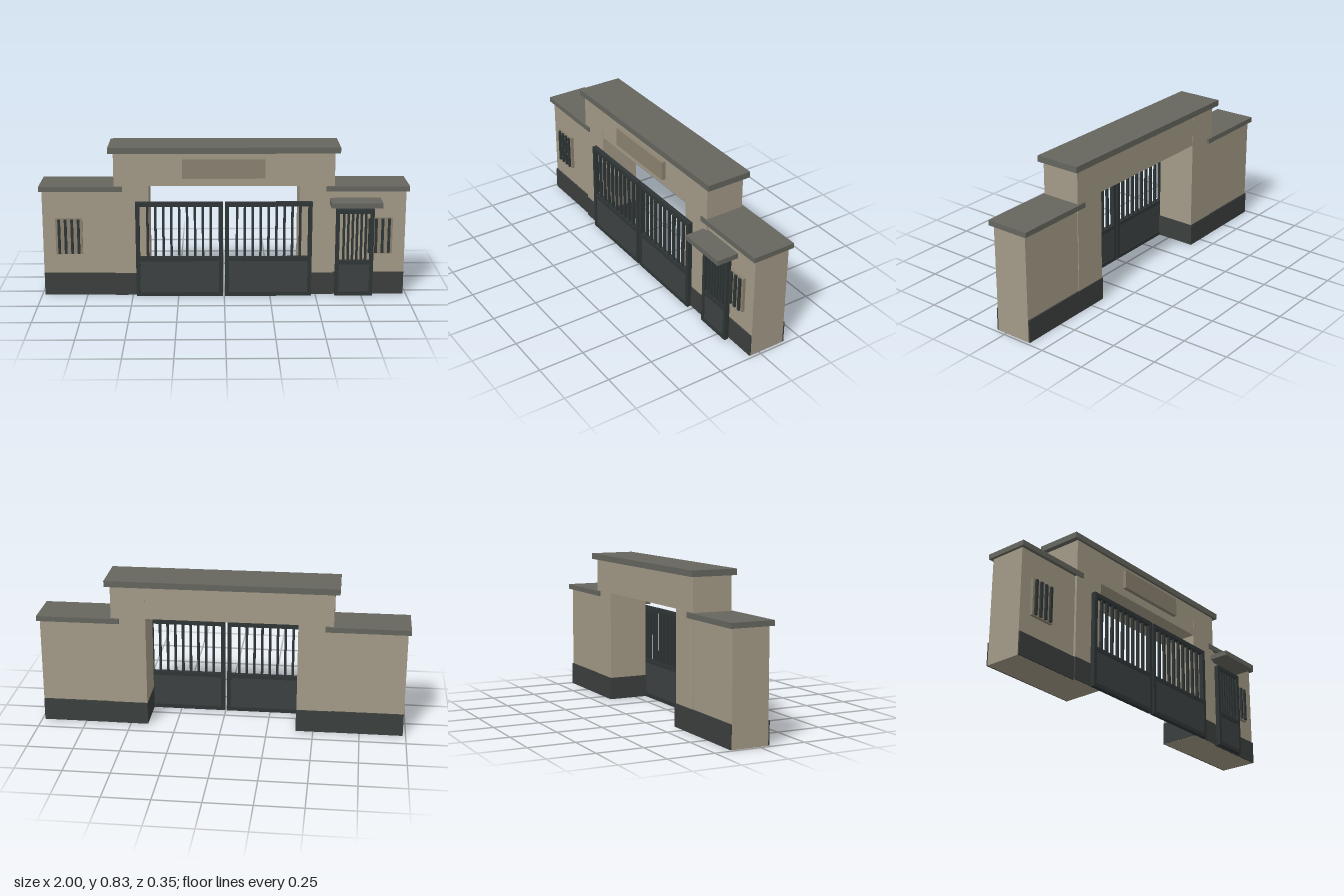
import * as THREE from 'three';

const mat = (color) => new THREE.MeshStandardMaterial({ color, flatShading: true });
const wall = mat(0xa39a87), stone = mat(0x66665f), plinth = mat(0x3b3f3e);
const iron = mat(0x2f3536), panel = mat(0x3d4141), plaque = mat(0x8b8270);

// Box given by its min and max on each axis
function box(parent, name, material, x0, x1, y0, y1, z0, z1) {
  const m = new THREE.Mesh(new THREE.BoxGeometry(x1 - x0, y1 - y0, z1 - z0), material);
  m.position.set((x0 + x1) / 2, (y0 + y1) / 2, (z0 + z1) / 2);
  m.name = name;
  parent.add(m);
  return m;
}

// Barred leaf: frame, solid lower panel and evenly spaced upright bars
function leaf(name, x0, x1, top, mid, post, bars, barWidth) {
  const g = new THREE.Group();
  g.name = name;
  const z0 = 0.066, z1 = 0.091;
  box(g, 'framePost', iron, x0, x0 + post, 0, top, z0, z1);
  box(g, 'framePost', iron, x1 - post, x1, 0, top, z0, z1);
  const a = x0 + post, b = x1 - post;
  box(g, 'topRail', iron, a, b, top - 0.024, top, z0, z1);
  box(g, 'middleRail', iron, a, b, mid - 0.022, mid, z0, z1);
  box(g, 'bottomRail', iron, a, b, 0, 0.022, z0, z1);
  box(g, 'lowerPanel', panel, a, b, 0.022, mid - 0.022, z0 + 0.005, z1 - 0.005);
  for (let i = 1; i <= bars; i++) {
    const x = a + (b - a) * i / (bars + 1);
    box(g, 'uprightBar', iron, x - barWidth / 2, x + barWidth / 2, mid, top - 0.024, 0.072, 0.086);
  }
  return g;
}

// Box on side s (+1 or -1), with x measured outward from the centre
function sideBox(parent, s, name, material, x0, x1, ...rest) {
  return box(parent, name, material, Math.min(s * x0, s * x1), Math.max(s * x0, s * x1), ...rest);
}

export function createModel() {
  const group = new THREE.Group();
  group.name = 'gatehouse';

  for (const s of [-1, 1]) {
    const side = new THREE.Group();
    side.name = s > 0 ? 'leftSide' : 'rightSide';
    group.add(side);

    // Walls, plinths and wing roof
    sideBox(side, s, 'wingWall', wall, 0.595, 0.985, 0, 0.585, -0.15, 0.052);
    sideBox(side, s, 'wingPlinth', plinth, 0.595, 0.984, 0.001, 0.125, -0.158, 0.06);
    sideBox(side, s, 'pylon', wall, 0.408, 0.595, 0, 0.795, -0.154, 0.065);
    sideBox(side, s, 'pylonPlinth', plinth, 0.406, 0.596, 0.001, 0.125, -0.159, 0.069);
    sideBox(side, s, 'wingRoof', stone, 0.55, 1, 0.585, 0.613, -0.168, 0.072);

    // Barred window
    sideBox(side, s, 'windowPanel', plaque, 0.77, 0.915, 0.235, 0.437, 0.05, 0.068);
    for (let i = 0; i < 4; i++) {
      const x = 0.79 + i * 0.035;
      sideBox(side, s, 'windowBar', iron, x - 0.007, x + 0.007, 0.24, 0.432, 0.06, 0.079);
    }

    // Main gate leaf
    group.add(s > 0
      ? leaf('leftGateLeaf', 0.004, 0.476, 0.53, 0.222, 0.022, 9, 0.013)
      : leaf('rightGateLeaf', -0.48, -0.008, 0.53, 0.222, 0.022, 9, 0.013));
  }

  // Beam over the opening, its roof and the blank plaque
  box(group, 'lintel', wall, -0.408, 0.408, 0.615, 0.795, -0.153, 0.064);
  box(group, 'mainRoof', stone, -0.623, 0.623, 0.795, 0.828, -0.175, 0.079);
  box(group, 'plaque', plaque, -0.225, 0.22, 0.66, 0.765, 0.06, 0.086);

  // Side door with its canopy
  group.add(leaf('sideDoor', 0.605, 0.812, 0.488, 0.2, 0.02, 6, 0.012));
  box(group, 'canopy', stone, 0.57, 0.845, 0.518, 0.546, 0.05, 0.175);

  return group;
}
